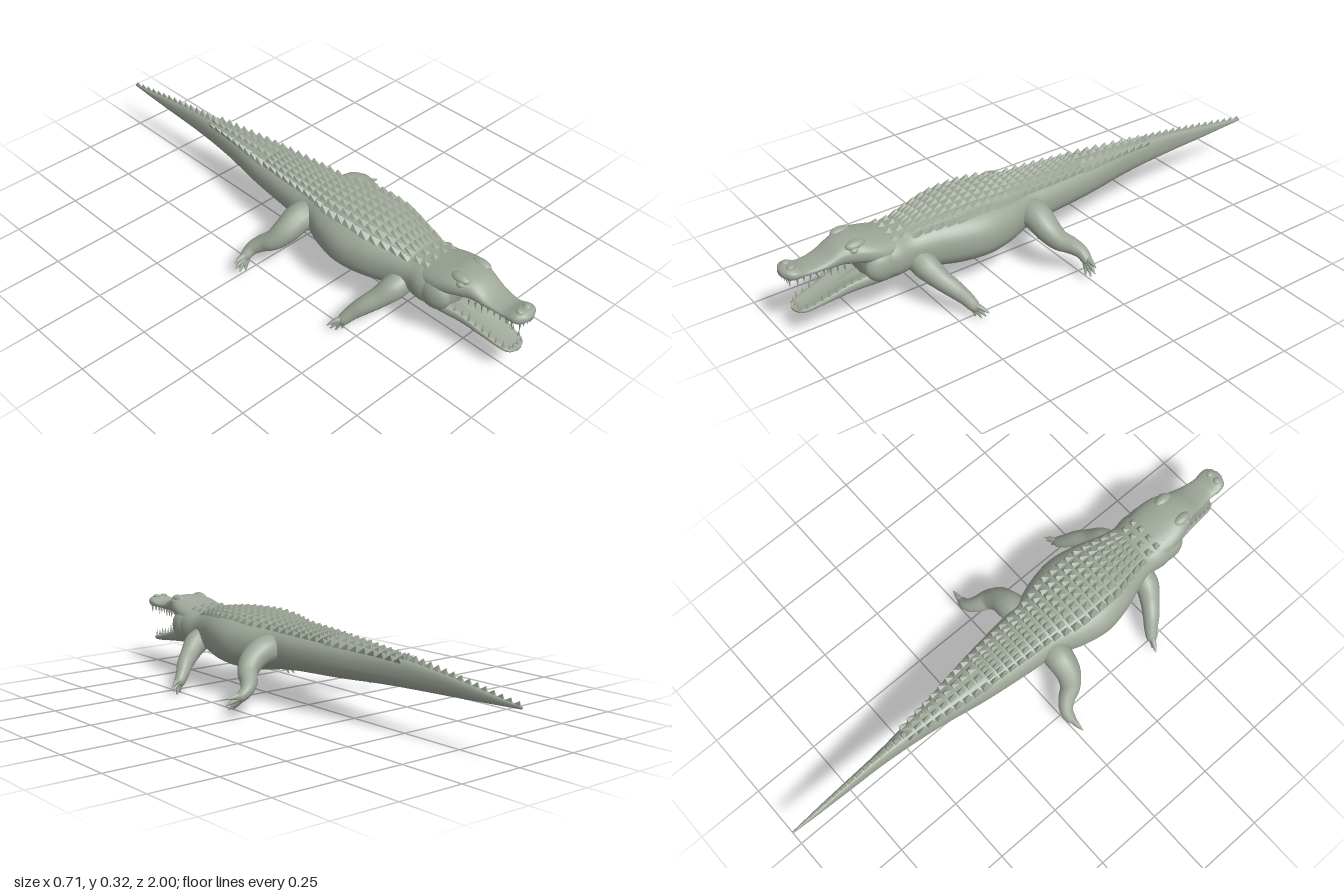
import * as THREE from 'three';
import { mergeGeometries } from 'three/addons/utils/BufferGeometryUtils.js';

// Cross-section stations: z, half width, bottom y, top y
const BODY = [
  [-1, 0.003, 0.182, 0.192], [-0.9, 0.009, 0.177, 0.205], [-0.8, 0.013, 0.171, 0.22], [-0.6, 0.022, 0.162, 0.246],
  [-0.4, 0.045, 0.152, 0.265], [-0.2, 0.08, 0.138, 0.277], [0, 0.105, 0.128, 0.287], [0.1, 0.115, 0.118, 0.293],
  [0.2, 0.15, 0.101, 0.303], [0.3, 0.168, 0.094, 0.308], [0.4, 0.153, 0.098, 0.307], [0.5, 0.121, 0.113, 0.294],
  [0.57, 0.107, 0.127, 0.282], [0.63, 0.115, 0.126, 0.285], [0.69, 0.1, 0.135, 0.275], [0.73, 0.07, 0.155, 0.26],
];
const SNOUT = [
  [0.6, 0.095, 0.18, 0.28], [0.68, 0.101, 0.2, 0.298], [0.74, 0.09, 0.219, 0.31], [0.8, 0.066, 0.23, 0.303],
  [0.86, 0.055, 0.235, 0.273], [0.92, 0.048, 0.237, 0.264], [0.96, 0.051, 0.235, 0.279], [0.985, 0.043, 0.238, 0.28],
  [1, 0.016, 0.25, 0.27],
];
const JAW = [
  [0.62, 0.098, 0.13, 0.21], [0.7, 0.09, 0.125, 0.205], [0.78, 0.069, 0.117, 0.185], [0.86, 0.056, 0.108, 0.153],
  [0.93, 0.046, 0.1, 0.13], [0.958, 0.036, 0.1, 0.122], [0.97, 0.014, 0.104, 0.115],
];
const ROUND = 0.85;

// Smooth lookup of [half width, bottom, top] at z
function sectionAt(rows, z) {
  let i = 0;
  while (i < rows.length - 2 && z > rows[i + 1][0]) i++;
  const a = rows[i], b = rows[i + 1], d = b[0] - a[0], t = (z - a[0]) / d;
  const slope = (n, k) => {
    const p = rows[Math.max(n - 1, 0)], q = rows[Math.min(n + 1, rows.length - 1)];
    return (q[k] - p[k]) / (q[0] - p[0]);
  };
  return [1, 2, 3].map((k) => (2 * t ** 3 - 3 * t ** 2 + 1) * a[k] + (t ** 3 - 2 * t ** 2 + t) * d * slope(i, k)
    + (3 * t ** 2 - 2 * t ** 3) * b[k] + (t ** 3 - t ** 2) * d * slope(i + 1, k));
}

// Closed skin over a list of rings, with a fan at both ends
function loft(rings) {
  const n = rings[0].length, last = rings.length - 1, pos = [], idx = [];
  rings.forEach((r) => r.forEach((p) => pos.push(p.x, p.y, p.z)));
  for (let i = 0; i < last; i++) for (let j = 0; j < n; j++) {
    const a = i * n + j, b = i * n + (j + 1) % n;
    idx.push(a, b, b + n, a, b + n, a + n);
  }
  [0, last].forEach((e) => {
    const c = rings[e].reduce((s, p) => s.add(p), new THREE.Vector3()).divideScalar(n), ci = pos.length / 3;
    pos.push(c.x, c.y, c.z);
    for (let j = 0; j < n; j++) {
      const a = e * n + j, b = e * n + (j + 1) % n;
      if (e) idx.push(a, b, ci); else idx.push(b, a, ci);
    }
  });
  const g = new THREE.BufferGeometry();
  g.setAttribute('position', new THREE.Float32BufferAttribute(pos, 3));
  g.setIndex(idx);
  g.computeVertexNormals();
  return g;
}

// Skin along z from a station table; trough hollows the upper side
function hull(rows, steps, sides, trough = 0) {
  const pw = (v) => Math.sign(v) * Math.abs(v) ** ROUND, rings = [];
  const z0 = rows[0][0], z1 = rows[rows.length - 1][0];
  for (let i = 0; i <= steps; i++) {
    const z = z0 + (z1 - z0) * i / steps, [w, lo, hi] = sectionAt(rows, z), ring = [];
    for (let j = 0; j < sides; j++) {
      const a = j / sides * Math.PI * 2, s = Math.sin(a);
      const dip = s > 0 ? trough * (hi - lo) * s ** 3 : 0;
      ring.push(new THREE.Vector3(w * pw(Math.cos(a)), (lo + hi) / 2 + (hi - lo) / 2 * pw(s) - dip, z));
    }
    rings.push(ring);
  }
  return loft(rings);
}

// Tapered tube through points [x, y, z, radius], placed on one side
function limb(points, side, steps = 16, sides = 14) {
  const curve = new THREE.CatmullRomCurve3(points.map((p) => new THREE.Vector3(p[0] * side, p[1], p[2])));
  const frames = curve.computeFrenetFrames(steps), rings = [];
  for (let i = 0; i <= steps; i++) {
    const u = curve.getUtoTmapping(i / steps) * (points.length - 1), k = Math.min(Math.floor(u), points.length - 2);
    const r = THREE.MathUtils.lerp(points[k][3], points[k + 1][3], u - k), c = curve.getPointAt(i / steps);
    rings.push(Array.from({ length: sides }, (_, j) => {
      const a = j / sides * Math.PI * 2;
      return c.clone().addScaledVector(frames.normals[i], r * Math.cos(a)).addScaledVector(frames.binormals[i], r * Math.sin(a));
    }));
  }
  return loft(rings);
}

// Four-sided scale with its peak swept toward the tail
function scute(x, y, z, w, h, l, tilt) {
  const g = new THREE.ConeGeometry(Math.SQRT1_2, 1, 4, 1, true).rotateY(Math.PI / 4).translate(0, 0.5, 0).toNonIndexed();
  const p = g.attributes.position;
  for (let i = 0; i < p.count; i++) if (p.getY(i) > 0.5) p.setZ(i, -0.4);
  g.scale(w, h, l).rotateZ(tilt).translate(x, y, z);
  g.computeVertexNormals();
  return g;
}

function tooth(x, y, z, h, dir, r = 0.005) {
  const g = new THREE.ConeGeometry(r, h, 8);
  if (dir < 0) g.rotateX(Math.PI);
  return g.translate(x, y + dir * h / 2, z);
}

export function createModel() {
  const model = new THREE.Group();
  const hide = new THREE.MeshStandardMaterial({ color: 0x9da698 });
  hide.name = 'greyGreenHide';
  const add = (name, geometry) => {
    const m = new THREE.Mesh(geometry, hide);
    m.name = name;
    model.add(m);
    return m;
  };

  add('bodyAndTail', hull(BODY, 100, 40));
  add('upperJaw', hull(SNOUT, 40, 32));
  add('lowerJaw', hull(JAW, 36, 32, 0.45));

  // Back armour: mirrored rows following the curve of the back
  const n = 2 / ROUND, scales = [];
  const onBack = (x, z) => {
    const [w, lo, hi] = sectionAt(BODY, z);
    return (lo + hi) / 2 + (hi - lo) / 2 * Math.max(0, 1 - Math.abs(x / w) ** n) ** (1 / n);
  };
  for (let z = 0.54; z > -0.5; z -= 0.038) {
    const edge = Math.min(0.106, sectionAt(BODY, z)[0] * 0.68), rows = z > -0.15 ? [0.14, 0.42, 0.7, 1] : [0.35, 1];
    rows.forEach((f) => [-1, 1].forEach((s) => {
      const x = edge * f * s, tilt = Math.atan((onBack(x + 0.003, z) - onBack(x - 0.003, z)) / 0.006);
      const w = edge * (z > -0.15 ? 0.28 : 0.5), outer = f === 1;
      scales.push(scute(x, onBack(x, z) - 0.003, z, w, outer ? 0.02 : 0.014, 0.038, tilt * (outer ? 0.6 : 1)));
    }));
  }
  // Small nape scales
  for (const z of [0.585, 0.625, 0.665]) for (const x of [-0.06, -0.022, 0.022, 0.06]) {
    const y = Math.max(onBack(x, z), 0.275);
    scales.push(scute(x, y - 0.002, z, 0.026, 0.014, 0.03, -x * 3));
  }
  add('backScales', mergeGeometries(scales));

  // Single saw-toothed crest toward the tail tip
  const crest = [];
  for (let z = -0.5; z > -0.98; z -= 0.034) {
    const [w, , hi] = sectionAt(BODY, z);
    crest.push(scute(0, hi - 0.005, z, Math.max(0.006, w * 0.8), 0.026 + (z + 0.5) * 0.02, 0.036, 0));
  }
  add('tailCrest', mergeGeometries(crest));

  // Teeth along both jaws
  const upper = [], lower = [];
  for (const s of [-1, 1]) {
    for (let i = 0; i < 8; i++) {
      const z = 0.8 + i * 0.023, [w, lo] = sectionAt(SNOUT, z);
      upper.push(tooth(s * w * 0.84, lo + 0.012, z, 0.026 + (i % 3) * 0.005, -1));
      const zl = 0.755 + i * 0.026, [wl, bl, hl] = sectionAt(JAW, zl);
      lower.push(tooth(s * wl * 0.86, bl + (hl - bl) * 0.7, zl, 0.022 + (i % 3) * 0.006, 1));
    }
    for (const x of [0.01, 0.028]) {
      upper.push(tooth(s * x, 0.246, 0.982, 0.033, -1));
      lower.push(tooth(s * x, 0.11, 0.955, 0.025, 1));
    }
  }
  add('upperTeeth', mergeGeometries(upper));
  add('lowerTeeth', mergeGeometries(lower));

  // Tongue
  add('tongue', new THREE.SphereGeometry(1, 20, 12).scale(0.035, 0.01, 0.1).rotateX(0.3).translate(0, 0.137, 0.81));

  for (const s of [-1, 1]) {
    const side = s > 0 ? 'left' : 'right';
    const ball = (x, y, z, a, b, c) => new THREE.SphereGeometry(1, 18, 12).scale(a, b, c).translate(x * s, y, z);

    // Head bumps
    add(side + 'Brow', ball(0.05, 0.298, 0.755, 0.02, 0.016, 0.036));
    add(side + 'Eye', ball(0.063, 0.287, 0.765, 0.014, 0.012, 0.017));
    add(side + 'Nostril', ball(0.018, 0.279, 0.968, 0.013, 0.007, 0.014));
    add(side + 'JawMuscle', ball(0.078, 0.205, 0.675, 0.037, 0.058, 0.065));

    // Front leg
    add(side + 'FrontLeg', limb([[0.07, 0.18, 0.545, 0.045], [0.12, 0.16, 0.535, 0.045], [0.165, 0.128, 0.512, 0.036],
      [0.205, 0.1, 0.485, 0.031], [0.235, 0.07, 0.46, 0.025], [0.262, 0.042, 0.443, 0.02], [0.272, 0.034, 0.438, 0.008]], s, 28));
    const frontTips = [[0.31, 0.036, 0.42], [0.299, 0.018, 0.425], [0.281, 0.003, 0.432], [0.26, 0.004, 0.442], [0.232, 0.032, 0.458]];
    add(side + 'FrontToes', mergeGeometries(frontTips.map((t) => limb([[0.25, 0.053, 0.45, 0.013],
      [0.45 * 0.25 + 0.55 * t[0], 0.45 * 0.053 + 0.55 * t[1] + 0.003, 0.45 * 0.45 + 0.55 * t[2], 0.009], [...t, 0.002]], s, 8, 8))));

    // Hind leg
    add(side + 'HindLeg', limb([[0.07, 0.2, 0.1, 0.055], [0.13, 0.203, 0.094, 0.053], [0.185, 0.175, 0.088, 0.046],
      [0.222, 0.142, 0.067, 0.037], [0.243, 0.118, 0.032, 0.031], [0.272, 0.095, 0.006, 0.024], [0.305, 0.073, 0.004, 0.018],
      [0.315, 0.067, 0.006, 0.008]], s, 32));
    const hindTips = [[0.355, 0.076, 0.008], [0.356, 0.052, 0.012], [0.342, 0.036, 0.018], [0.32, 0.032, 0.024]];
    add(side + 'HindToes', mergeGeometries(hindTips.map((t) => limb([[0.29, 0.082, 0.004, 0.014],
      [0.45 * 0.29 + 0.55 * t[0], 0.45 * 0.082 + 0.55 * t[1], 0.5 * t[2], 0.01], [...t, 0.002]], s, 8, 8))));
  }
  return model;
}
